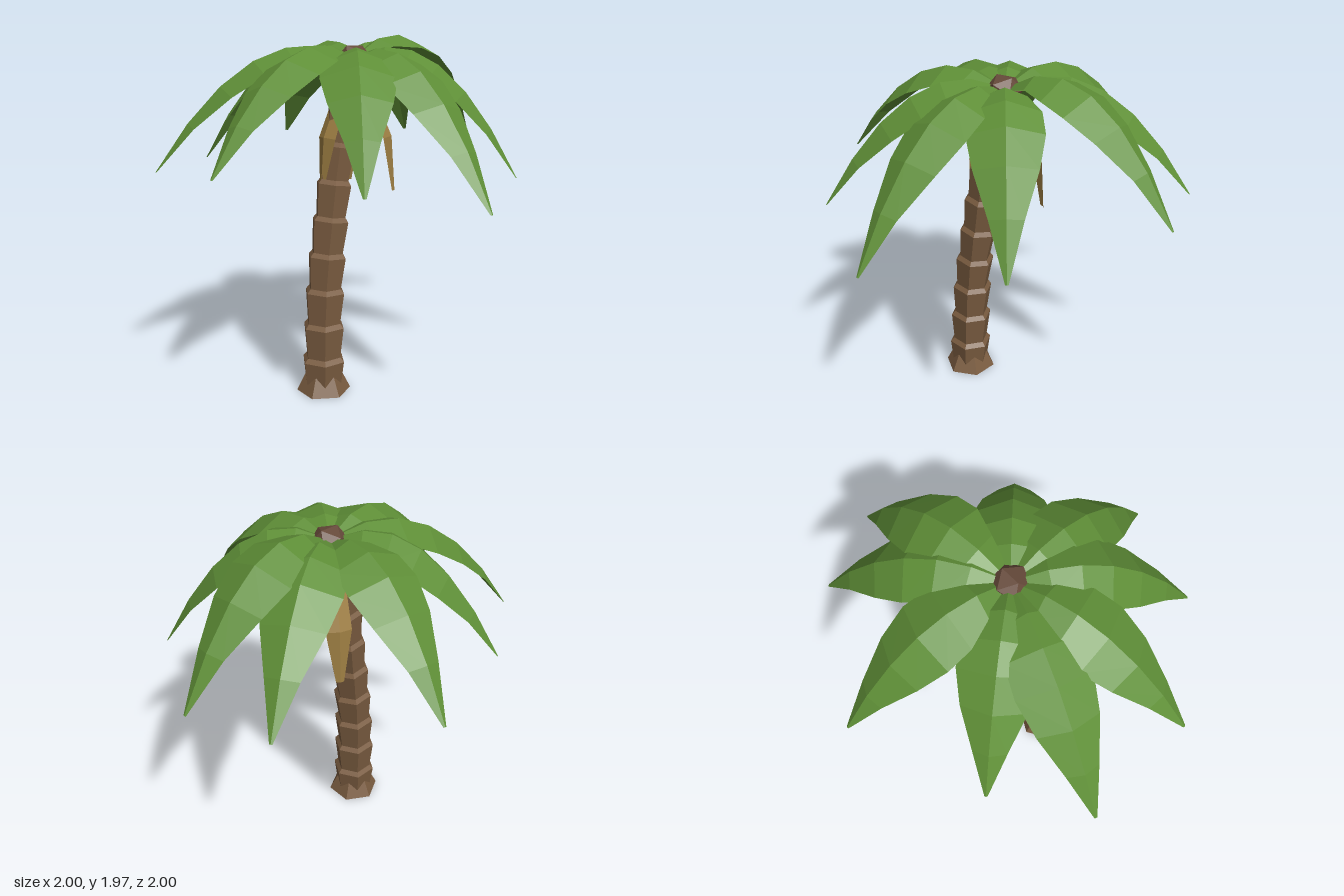
import * as THREE from 'three';

const mat = (color) => new THREE.MeshStandardMaterial({ color, flatShading: true, side: THREE.DoubleSide });
const bark = mat(0x7a5c40);
const budBark = mat(0x664a3a);
const green = mat(0x5f8f37);
const dry = mat(0x9c7d42);
const orange = mat(0xc8641e);
const CROWN_Z = -0.03;

// Folded leaf: a midrib path of [distance, height] with edges hanging below it
function leafGeometry(path, widths, fold) {
  const pos = [], index = [];
  path.forEach(([r, y], i) => {
    const p = path[Math.max(i - 1, 0)], q = path[Math.min(i + 1, path.length - 1)];
    const t = new THREE.Vector2(q[0] - p[0], q[1] - p[1]).normalize();
    const w = widths[i], d = w * fold;
    pos.push(-w, y - t.x * d, r + t.y * d, 0, y, r, w, y - t.x * d, r + t.y * d);
    if (i === path.length - 1) return;
    for (let c = 0; c < 2; c++) {
      const a = i * 3 + c;
      index.push(a, a + 3, a + 4, a, a + 4, a + 1);
    }
  });
  const g = new THREE.BufferGeometry();
  g.setAttribute('position', new THREE.Float32BufferAttribute(pos, 3));
  g.setIndex(index);
  const flat = g.toNonIndexed();
  flat.computeVertexNormals();
  return flat;
}

export function createModel() {
  const model = new THREE.Group();
  const add = (name, geometry, material, parent = model) => {
    const mesh = new THREE.Mesh(geometry, material);
    mesh.name = name;
    parent.add(mesh);
    return mesh;
  };

  // Trunk: stacked six-sided collars following a gentle bend
  const trunk = new THREE.Group();
  trunk.name = 'trunk';
  model.add(trunk);
  const centerX = [-0.255, -0.25, -0.243, -0.23, -0.208, -0.18, -0.15, -0.115, -0.07, -0.015];
  const joint = (k) => new THREE.Vector3(centerX[k], k * 0.2, 0.01 - 0.04 * (k / 9) ** 1.3);
  const up = new THREE.Vector3(0, 1, 0);
  for (let k = 0; k < 9; k++) {
    const from = joint(k), dir = joint(k + 1).sub(from);
    const h = dir.length(), r = 0.127 - 0.0048 * k;
    const profile = [[0.83 * r, -0.02], [r, h - 0.02], [0.83 * r, h + 0.005]]
      .map(([x, y]) => new THREE.Vector2(x, y));
    if (k === 0) profile[0].y = 0.005;
    const seg = add('trunkSegment', new THREE.LatheGeometry(profile, 6, Math.PI / 2), bark, trunk);
    seg.position.copy(from);
    seg.quaternion.setFromUnitVectors(up, dir.normalize());
  }

  // Flared foot
  const foot = add('trunkBase', new THREE.CylinderGeometry(0.098, 0.152, 0.11, 6), bark, trunk);
  foot.position.set(-0.253, 0.055, 0.01);

  // Crown bud
  const crown = new THREE.Group();
  crown.name = 'crown';
  crown.position.z = CROWN_Z;
  model.add(crown);
  const bud = add('crownBud', new THREE.IcosahedronGeometry(0.1, 0), budBark, crown);
  bud.scale.y = 0.8;
  bud.position.y = 1.85;

  // Fronds: tip x, tip z, tip height, initial rise
  const fronds = [
    [0.17, -1.0, 1.34, 0.58], [0.83, -0.57, 1.34, 0.56], [1.0, -0.15, 1.34, 0.73],
    [0.62, 0.61, 1.22, 0.46], [0.02, 1.0, 1.18, 0.46], [-0.54, 0.76, 1.29, 0.48],
    [-1.0, 0.2, 1.34, 0.52], [-1.0, -0.43, 1.28, 0.5], [-0.55, -0.74, 1.27, 0.5],
  ];
  const widths = [0.035, 0.11, 0.18, 0.192, 0.158, 0.085, 0.008];
  for (const [x, z, tipY, rise] of fronds) {
    const dz = z - CROWN_Z, length = Math.hypot(x, dz), y0 = 1.865;
    const path = widths.map((_, i) => {
      const t = i / 6;
      return [0.02 + (length - 0.02) * t, y0 + rise * t - (y0 + rise - tipY) * t * t];
    });
    add('frond', leafGeometry(path, widths, 0.38), green, crown).rotation.y = Math.atan2(x, dz);
  }

  // Dry leaves hanging around the trunk top
  [[57, 1.14], [177, 1.19], [297, 1.14]].forEach(([deg, tipY]) => {
    const path = [[0.04, 1.76], [0.13, 1.63], [0.215, 1.44], [0.235, tipY]];
    const leaf = add('dryLeaf', leafGeometry(path, [0.03, 0.06, 0.07, 0.022], 0.35), dry, crown);
    leaf.rotation.y = Math.PI / 2 + THREE.MathUtils.degToRad(deg);
    leaf.rotation.y = Math.PI / 2 - THREE.MathUtils.degToRad(deg);
  });

  // Fruit under the crown
  for (const [x, y, z] of [[0.11, 1.67, 0], [-0.11, 1.66, 0.04]]) {
    const fruit = add('fruit', new THREE.IcosahedronGeometry(0.085, 0), orange);
    fruit.position.set(x, y, z);
    fruit.scale.y = 1.1;
  }
  return model;
}
